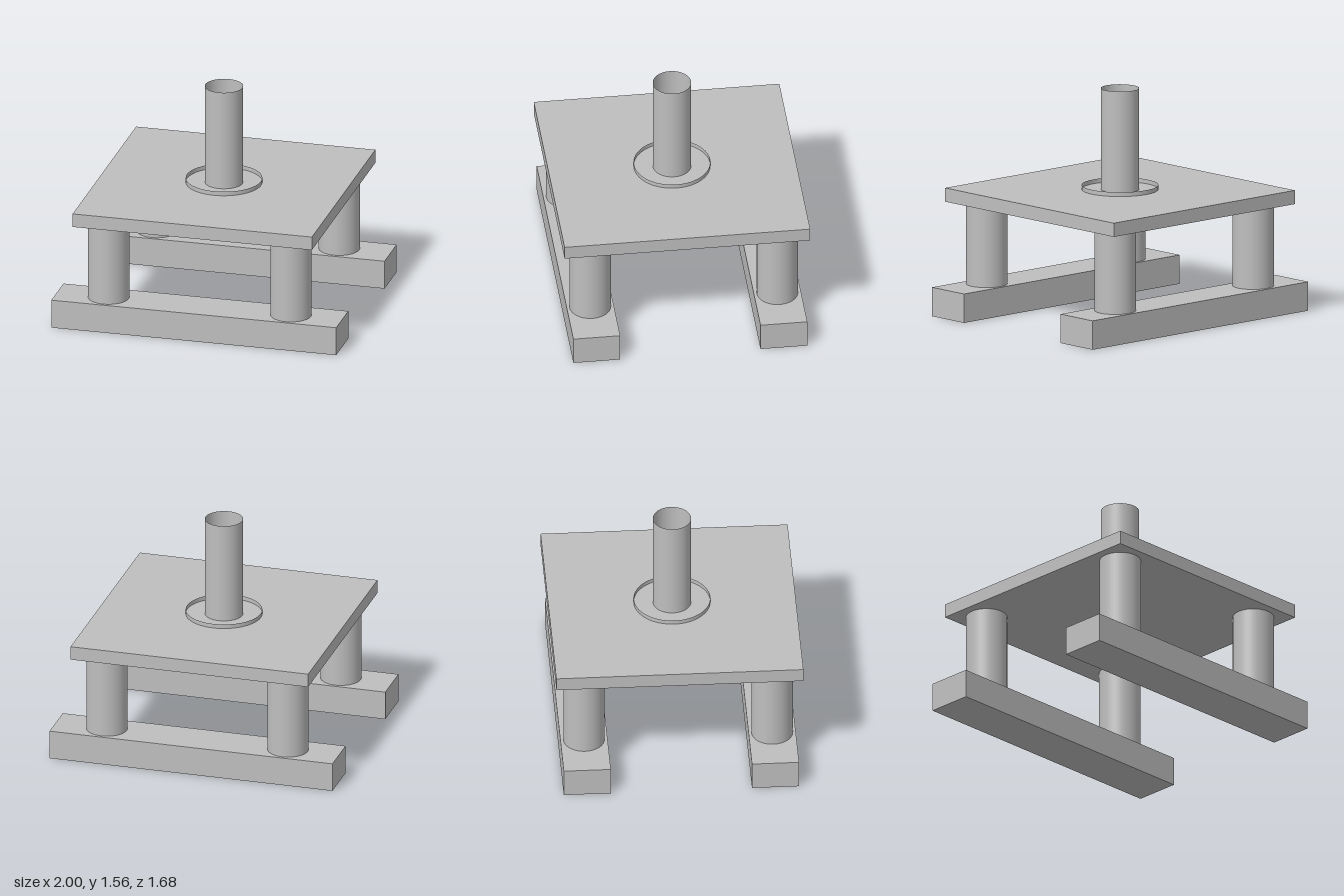
import * as THREE from 'three';

export function createModel() {
  const model = new THREE.Group();
  const grey = new THREE.MeshStandardMaterial({ color: 0xbfbfbf, side: THREE.DoubleSide });
  grey.name = 'plain grey';

  const add = (name, geometry, x, y, z) => {
    const mesh = new THREE.Mesh(geometry, grey);
    mesh.name = name;
    mesh.position.set(x, y, z);
    model.add(mesh);
  };
  const box = (name, w, y0, y1, d, z = 0) =>
    add(name, new THREE.BoxGeometry(w, y1 - y0, d), 0, (y0 + y1) / 2, z);
  // Open-ended smooth tube wall
  const tube = (name, r, y0, y1, x = 0, z = 0) =>
    add(name, new THREE.CylinderGeometry(r, r, y1 - y0, 64, 1, true), x, (y0 + y1) / 2, z);

  // Two base beams, each carrying two round legs
  for (const [end, sz] of [['front', 1], ['back', -1]]) {
    box(end + 'Beam', 2, 0, 0.2, 0.32, sz * 0.64);
    for (const [side, sx] of [['Left', 1], ['Right', -1]]) {
      tube(end + side + 'Leg', 0.14, 0.2, 0.765, sx * 0.64, sz * 0.64);
    }
  }

  // Square table plate
  box('plate', 1.68, 0.765, 0.86, 1.68);

  // Low collar ring and hollow central post
  tube('collarRing', 0.26, 0.86, 0.89);
  tube('post', 0.13, 0.86, 1.56);

  return model;
}
